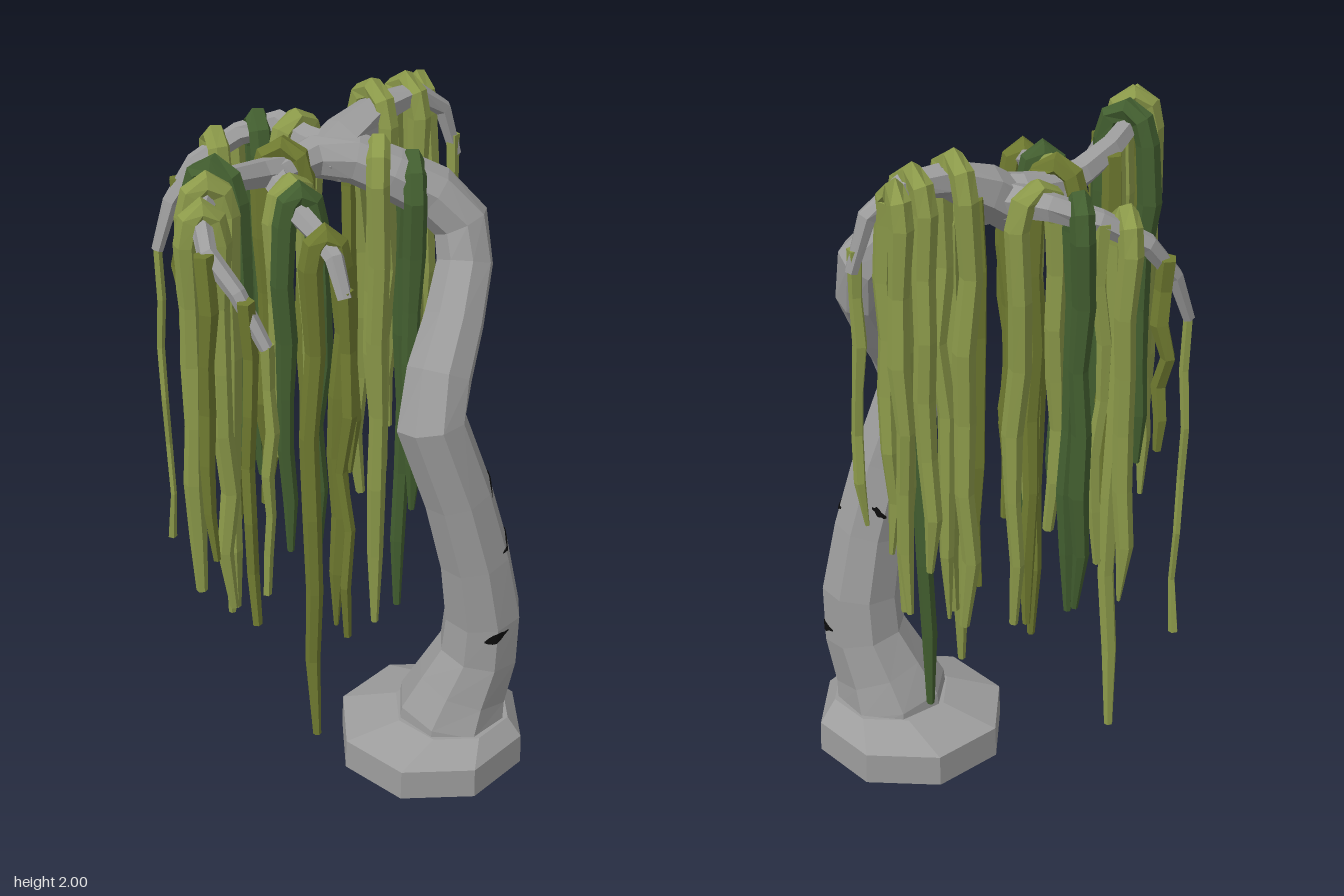
import * as THREE from 'three';

const V = (x, y, z) => new THREE.Vector3(x, y, z);

// Faceted tube through stations [x, y, z, radius]; level keeps every ring horizontal
function loft(stations, sides, { level = false, turn = 0, recess = 0 } = {}) {
  const pts = stations.map(s => V(s[0], s[1], s[2]));
  const last = pts.length - 1;
  const pos = [], idx = [];
  let n = null;
  pts.forEach((p, i) => {
    const t = level ? V(0, 1, 0)
      : pts[Math.min(i + 1, last)].clone().sub(pts[Math.max(i - 1, 0)]).normalize();
    if (!n) n = Math.abs(t.x) > 0.8 ? V(0, 0, 1) : V(1, 0, 0);
    n.addScaledVector(t, -n.dot(t)).normalize();
    const b = t.clone().cross(n);
    for (let j = 0; j < sides; j++) {
      const a = turn + j / sides * Math.PI * 2, r = stations[i][3];
      const q = p.clone().addScaledVector(n, Math.cos(a) * r).addScaledVector(b, Math.sin(a) * r);
      pos.push(q.x, q.y, q.z);
    }
  });
  const start = pos.length / 3, end = start + 1;
  pos.push(pts[0].x, pts[0].y + recess, pts[0].z, pts[last].x, pts[last].y, pts[last].z);
  for (let j = 0; j < sides; j++) {
    const k = (j + 1) % sides;
    for (let i = 0; i < last; i++) {
      const a = i * sides, c = a + sides;
      idx.push(a + j, a + k, c + k, a + j, c + k, c + j);
    }
    idx.push(start, k, j, end, last * sides + j, last * sides + k);
  }
  const g = new THREE.BufferGeometry();
  g.setAttribute('position', new THREE.Float32BufferAttribute(pos, 3));
  g.setIndex(idx);
  const flat = g.toNonIndexed();
  flat.computeVertexNormals();
  return flat;
}

let seed = 7;
const rand = () => {
  seed = (seed * 16807) % 2147483647;
  return seed / 2147483647 - 0.5;
};

// Hanging leg from (x, y, z) to height end, thinning and wandering a little
function leg(x, y, z, end, r) {
  const out = [], steps = 6, w = 0.026, tip = 0.005 + 0.011 * (rand() + 0.5);
  for (let i = 1; i <= steps; i++) {
    const t = i / steps;
    out.push([x + rand() * w, y + (end - y) * t, z + rand() * w,
      i === steps ? tip : r * (1 - 0.35 * t) * (1 + rand() * 0.25)]);
  }
  return out;
}

// Strand draped over a branch, with one leg on each side
function drape(ax, az, bx, bz, top, endA, endB) {
  const r = 0.032, cx = (ax + bx) / 2, cz = (az + bz) / 2;
  const len = Math.hypot(bx - ax, bz - az), k = (len / 2 - 0.024) / (len / 2);
  const dx = (bx - ax) / 2 * k, dz = (bz - az) / 2 * k;
  const y = top - r - 0.09, arch = [];
  for (let i = 0; i <= 4; i++) {
    const a = Math.PI * (1 - i / 4);
    arch.push([cx + dx * Math.cos(a), y + 0.09 * Math.sin(a), cz + dz * Math.cos(a), r]);
  }
  return [...leg(cx - dx, y, cz - dz, endA, r).reverse(), ...arch,
    ...leg(cx + dx, y, cz + dz, endB, r)];
}

// Thin jagged sliver projected along dir onto a target, from point a to point b
function sliver(target, dir, a, b, half) {
  const ray = new THREE.Raycaster(), pos = [], idx = [], steps = 6;
  for (let i = 0; i <= steps; i++) {
    const t = i / steps, h = half * (0.25 + Math.sin(Math.PI * t)) * (1 + rand() * 0.7);
    for (const s of [-1, 1]) {
      const from = a.clone().lerp(b, t).add(V(0, s * h, 0)).addScaledVector(dir, -2);
      ray.set(from, dir);
      const p = ray.intersectObject(target)[0].point.addScaledVector(dir, -0.004);
      pos.push(p.x, p.y, p.z);
    }
    const v = i * 2;
    if (i < steps) idx.push(v, v + 2, v + 3, v, v + 3, v + 1);
  }
  const g = new THREE.BufferGeometry();
  g.setAttribute('position', new THREE.Float32BufferAttribute(pos, 3));
  g.setIndex(idx);
  g.computeVertexNormals();
  return g;
}

export function createModel() {
  const mat = (name, color) => Object.assign(new THREE.MeshStandardMaterial({ color }), { name });
  const bark = mat('grey bark', 0x9c9c9c);
  const crack = mat('dark crack', 0x0c0c0c);
  crack.side = THREE.DoubleSide;
  const greens = {
    light: mat('light moss', 0x8c9a4a),
    olive: mat('olive moss', 0x6f7a30),
    dark: mat('dark green moss', 0x435f30),
  };
  const model = new THREE.Group();
  model.name = 'droopingTree';
  const add = (name, geo, material, parent = model) => {
    const m = new THREE.Mesh(geo, material);
    m.name = name;
    parent.add(m);
    return m;
  };

  // Octagonal root block, hollowed underneath
  add('rootBase', loft([[0.26, 0, 0, 0.283], [0.26, 0.095, 0, 0.28], [0.32, 0.145, 0.01, 0.175]],
    8, { level: true, turn: 0.42, recess: 0.09 }), bark);

  // Winding trunk, bending over into the crown
  const trunk = add('trunk', loft([
    [0.32, 0.1, 0.01, 0.17], [0.32, 0.15, 0.01, 0.165], [0.35, 0.24, 0.01, 0.14],
    [0.393, 0.36, 0.01, 0.12], [0.4, 0.5, 0.015, 0.115], [0.37, 0.7, 0.03, 0.105],
    [0.315, 0.92, 0.045, 0.1], [0.235, 1.16, 0.06, 0.1], [0.258, 1.28, 0.005, 0.094],
    [0.3, 1.4, -0.08, 0.086], [0.332, 1.53, -0.17, 0.08], [0.32, 1.635, -0.205, 0.08],
    [0.24, 1.72, -0.21, 0.078], [0.13, 1.78, -0.205, 0.072], [0.03, 1.82, -0.215, 0.07],
    [-0.08, 1.83, -0.2, 0.058], [-0.19, 1.82, -0.1, 0.042]], 8, { turn: 0.35 }), bark);

  // Crown branches
  const branches = {
    backRight: [[-0.06, 1.8, -0.21, 0.07], [0.01, 1.86, -0.26, 0.068], [0.1, 1.915, -0.33, 0.047],
      [0.2, 1.925, -0.41, 0.034], [0.28, 1.86, -0.455, 0.026], [0.32, 1.72, -0.47, 0.018]],
    backLeft: [[-0.02, 1.82, -0.22, 0.06], [-0.1, 1.84, -0.28, 0.046], [-0.17, 1.86, -0.36, 0.037],
      [-0.28, 1.83, -0.36, 0.032], [-0.4, 1.76, -0.33, 0.028], [-0.47, 1.66, -0.29, 0.023],
      [-0.51, 1.53, -0.26, 0.017]],
    frontLeft: [[-0.15, 1.82, -0.14, 0.047], [-0.22, 1.84, -0.07, 0.04], [-0.29, 1.87, 0.03, 0.035],
      [-0.34, 1.9, 0.15, 0.031], [-0.36, 1.89, 0.3, 0.028], [-0.34, 1.84, 0.4, 0.026],
      [-0.27, 1.76, 0.45, 0.023], [-0.2, 1.63, 0.495, 0.018]],
    frontCentre: [[-0.19, 1.82, -0.12, 0.04], [-0.13, 1.79, 0.04, 0.034], [-0.07, 1.78, 0.17, 0.03],
      [-0.03, 1.75, 0.25, 0.026], [-0.005, 1.66, 0.295, 0.02]],
  };
  for (const [name, pts] of Object.entries(branches)) add(name + 'Branch', loft(pts, 6), bark);

  // Draped strands: side a x z, side b x z, top, end a, end b, colour
  const moss = new THREE.Group();
  moss.name = 'hangingMoss';
  model.add(moss);
  const drapes = [
    [-0.37, -0.4, -0.32, -0.27, 1.87, 0.75, 0.28, 'light'],
    [-0.25, -0.42, -0.21, -0.29, 1.91, 0.72, 0.66, 'dark'],
    [-0.19, -0.26, -0.06, -0.38, 1.92, 0.9, 0.65, 'light'],
    [-0.24, -0.15, -0.08, -0.125, 1.92, 0.78, 0.5, 'olive'],
    [-0.2, 0.05, -0.08, -0.07, 1.87, 1.04, 0.72, 'light'],
    [-0.18, 0.075, -0.05, 0.05, 1.88, 0.75, 0.55, 'dark'],
    [-0.115, 0.22, 0.01, 0.2, 1.83, 0.22, 0.58, 'olive'],
    [-0.41, 0.09, -0.25, 0.15, 1.98, 0.9, 1.0, 'dark'],
    [-0.42, 0.235, -0.27, 0.21, 1.98, 0.73, 0.66, 'light'],
    [-0.42, 0.325, -0.29, 0.3, 1.95, 0.8, 0.73, 'light'],
    [0.03, -0.4, 0.135, -0.27, 2.0, 0.65, 0.6, 'light'],
    [0.12, -0.46, 0.23, -0.36, 1.99, 0.85, 0.68, 'light'],
    [0.175, -0.51, 0.25, -0.43, 1.97, 0.75, 0.9, 'light'],
    [0.1, -0.29, 0.09, -0.105, 1.9, 0.62, 0.36, 'light'],
    [0.175, -0.31, 0.195, -0.105, 1.85, 0.31, 0.75, 'dark'],
  ];
  for (const [ax, az, bx, bz, top, ea, eb, c] of drapes)
    add('drapedStrand', loft(drape(ax, az, bx, bz, top, ea, eb), 6), greens[c], moss);

  // Single strands hanging from the branches: x, z, top, end, radius, colour
  const singles = [
    [-0.45, -0.32, 1.72, 1.18, 0.026, 'olive'], [-0.51, -0.26, 1.54, 0.58, 0.013, 'light'],
    [-0.2, 0.49, 1.64, 0.9, 0.02, 'light'], [-0.25, 0.475, 1.75, 0.8, 0.024, 'olive'],
    [-0.35, 0.425, 1.85, 0.96, 0.027, 'olive'], [-0.005, 0.285, 1.68, 0.6, 0.022, 'olive'],
    [0.31, -0.465, 1.78, 1.0, 0.021, 'light'], [-0.3, -0.01, 1.87, 0.8, 0.027, 'olive'],
    [-0.29, -0.37, 1.83, 0.85, 0.024, 'light'], [0.03, -0.34, 1.87, 0.75, 0.027, 'olive'],
  ];
  for (const [x, z, top, end, r, c] of singles)
    add('singleStrand', loft([[x, top, z, r], ...leg(x, top, z, end, r)], 5), greens[c], moss);

  // Dark cracks following the bark
  const fromSide = V(-1, 0, 0), fromFront = V(0, 0, -1), fromBack = V(0, 0, 1);
  const cracks = [
    [fromSide, V(0, 0.93, 0.09), V(0, 0.97, 0), 0.01],
    [fromSide, V(0, 0.745, 0.09), V(0, 0.775, -0.01), 0.01],
    [fromSide, V(0, 0.38, 0.02), V(0, 0.39, -0.065), 0.012],
    [fromFront, V(0.4, 0.46, 0), V(0.47, 0.485, 0), 0.012],
    [fromBack, V(0.31, 0.78, 0), V(0.35, 0.81, 0), 0.01],
  ];
  for (const [dir, a, b, half] of cracks) add('barkCrack', sliver(trunk, dir, a, b, half), crack);
  return model;
}
